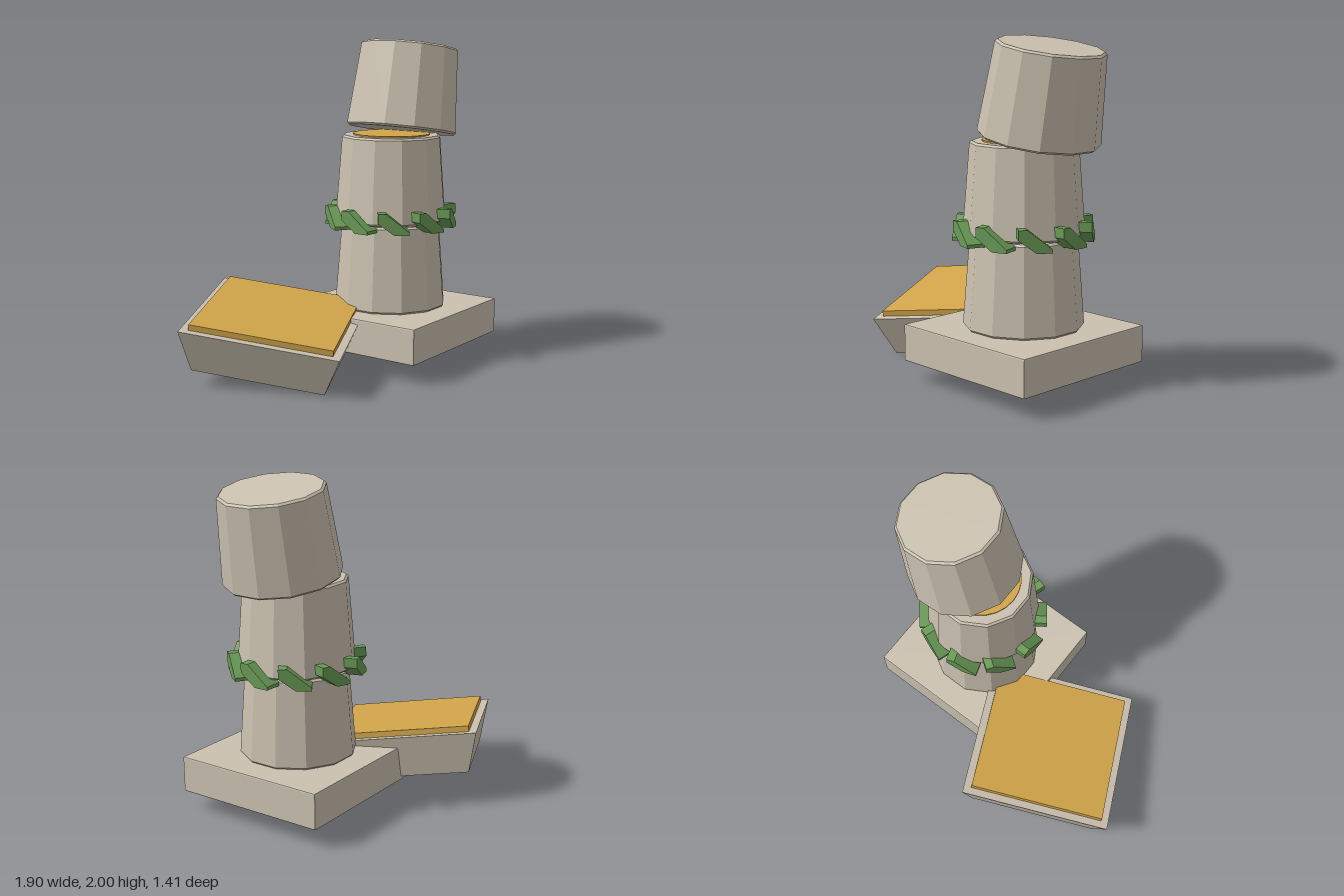
import * as THREE from 'three';
import { RoundedBoxGeometry } from 'three/addons/geometries/RoundedBoxGeometry.js';

const material = (name, color, flat = true) => {
  const m = new THREE.MeshStandardMaterial({ color, flatShading: flat });
  m.name = name;
  return m;
};

export function createModel() {
  const stone = material('stone', 0xcbc1b0);
  const gold = material('gold', 0xd2a549);
  const green = material('leaf green', 0x6b9b57);

  const model = new THREE.Group();
  model.name = 'ruinedColumn';
  const add = (name, geometry, mat, x = 0, y = 0, z = 0, parent = model) => {
    const mesh = new THREE.Mesh(geometry, mat);
    mesh.name = name;
    mesh.position.set(x, y, z);
    parent.add(mesh);
    return mesh;
  };
  const CX = 0.45, CZ = 0.21;

  // Square plinth with slightly softened edges
  add('plinth', new RoundedBoxGeometry(0.98, 0.22, 0.98, 1, 0.008), stone, CX, 0.23, CZ);

  // Twelve-sided tapered drums with chamfered rims; the top one has slipped and leans
  const H = 0.53;
  const profile = [[0, 0], [0.338, 0], [0.35, 0.012], [0.311, H - 0.012], [0.298, H], [0, H]]
    .map(([r, y]) => new THREE.Vector2(r, y - H / 2));
  const drum = new THREE.LatheGeometry(profile, 12, Math.PI / 12);
  add('lowerDrum', drum, stone, CX, 0.34 + H / 2, CZ);
  add('middleDrum', drum, stone, CX, 0.882 + H / 2, CZ);
  add('leaningDrum', drum, stone, 0.61, 1.69, CZ).rotation.z = -THREE.MathUtils.degToRad(10);

  // Gold core showing at the break
  add('goldCore', new THREE.CylinderGeometry(0.24, 0.24, 0.008, 24), gold, CX, 1.416, CZ);

  // Ring of ten slanted leaves around the joint
  const leafShape = new THREE.Shape([
    [-0.095, 0.065], [-0.095, 0.008], [0.005, -0.065],
    [0.095, -0.065], [0.095, -0.045], [-0.045, 0.065],
  ].map(([x, y]) => new THREE.Vector2(x, y)));
  const leaf = new THREE.ExtrudeGeometry(leafShape, { depth: 0.11, bevelEnabled: false });
  leaf.translate(0, 0, 0.29);
  const garland = new THREE.Group();
  garland.name = 'leafRing';
  garland.position.set(CX, 0.905, CZ);
  model.add(garland);
  for (let i = 0; i < 10; i++) {
    add('leaf', leaf, green, 0, 0, 0, garland).rotation.y = -Math.PI / 2 + i * Math.PI / 5;
  }

  // Fallen capital: an upturned square frustum with a gold panel, lying tilted
  const capital = new THREE.Group();
  capital.name = 'fallenCapital';
  const xAxis = new THREE.Vector3(0.86, 0.11, -0.39).normalize();
  const yAxis = new THREE.Vector3(-0.052, 0.985, 0.164).normalize();
  const zAxis = new THREE.Vector3().crossVectors(xAxis, yAxis).normalize();
  xAxis.crossVectors(yAxis, zAxis);
  capital.quaternion.setFromRotationMatrix(new THREE.Matrix4().makeBasis(xAxis, yAxis, zAxis));
  capital.position.set(-0.315, 0.355, -0.09);
  model.add(capital);
  const side = 0.95, depth = 0.258;
  const block = new THREE.CylinderGeometry(side * Math.SQRT1_2, side * 0.84 * Math.SQRT1_2, depth, 4);
  block.rotateY(Math.PI / 4);
  add('capitalBlock', block, stone, 0, -depth / 2, 0, capital);
  add('goldPanel', new THREE.BoxGeometry(0.855, 0.04, 0.855), gold, 0, 0.015, 0, capital);

  return model;
}
